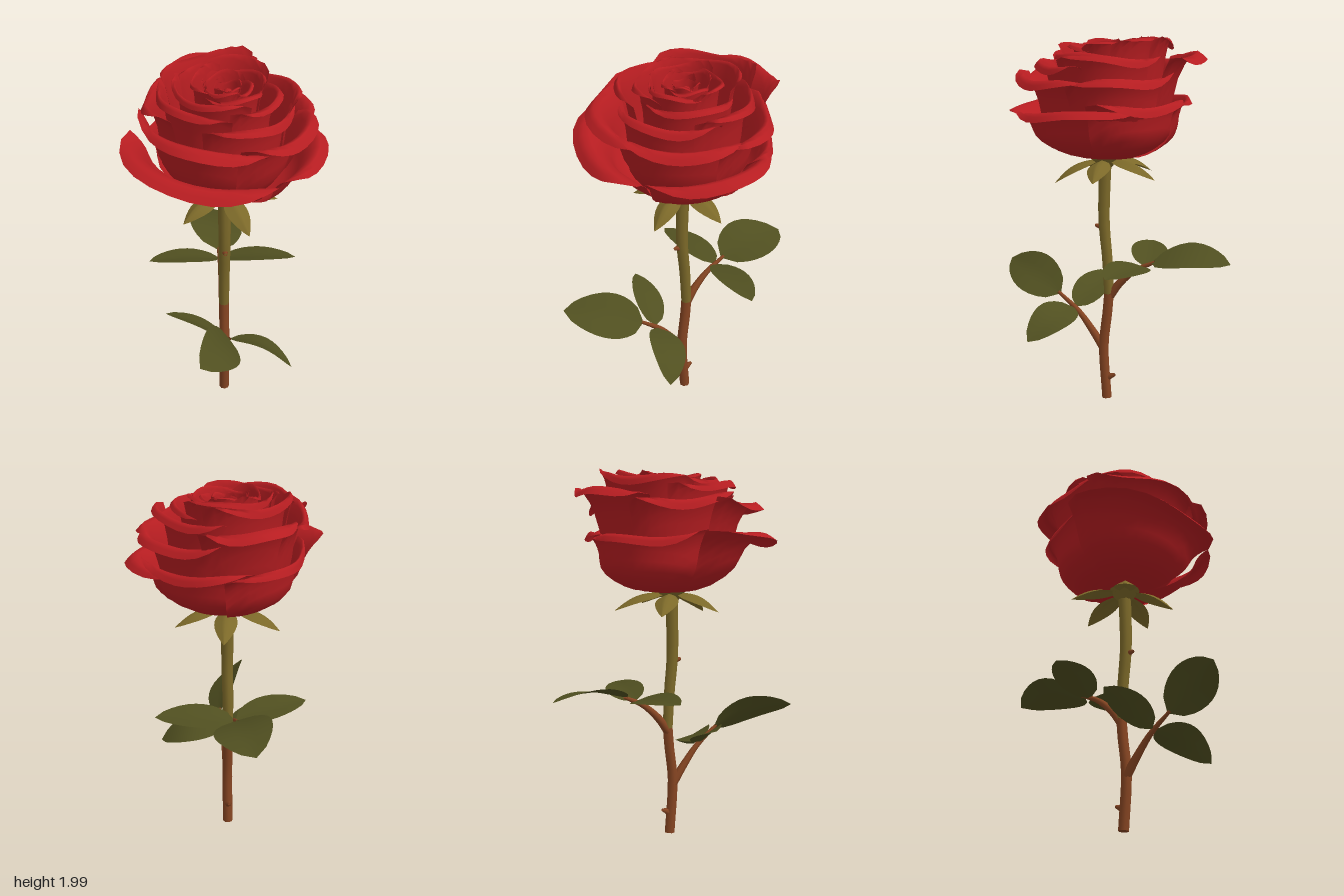
import * as THREE from 'three';

const V = (x, y, z) => new THREE.Vector3(x, y, z);
const RAD = Math.PI / 180;

// Smooth sheet from a rule fn(u, v) with u in -1..1 and v in 0..1
function sheet(nu, nv, fn) {
  const pos = [], index = [];
  for (let j = 0; j <= nv; j++)
    for (let i = 0; i <= nu; i++) pos.push(...fn((i / nu) * 2 - 1, j / nv).toArray());
  for (let j = 0; j < nv; j++)
    for (let i = 0; i < nu; i++) {
      const a = j * (nu + 1) + i, b = a + nu + 1;
      index.push(a, b, a + 1, a + 1, b, b + 1);
    }
  const g = new THREE.BufferGeometry();
  g.setAttribute('position', new THREE.Float32BufferAttribute(pos, 3));
  g.setIndex(index);
  g.computeVertexNormals();
  return g;
}

// Tapered tube along points
function stalk(points, r0, r1, seg = 10, sides = 8) {
  const curve = new THREE.CatmullRomCurve3(points);
  const g = new THREE.TubeGeometry(curve, seg, 1, sides);
  const p = g.attributes.position, v = V(0, 0, 0);
  for (let i = 0; i <= seg; i++) {
    const c = curve.getPointAt(i / seg), r = r0 + (r1 - r0) * (i / seg);
    for (let k = 0; k <= sides; k++) {
      const n = i * (sides + 1) + k;
      v.fromBufferAttribute(p, n).sub(c).multiplyScalar(r).add(c);
      p.setXYZ(n, v.x, v.y, v.z);
    }
  }
  return g;
}

// Pointed blade from base to tip, arched upwards and folded along its midrib
function blade(base, tip, side, half, arch, fold, fullness) {
  const d = tip.clone().sub(base).normalize();
  const w = side.clone().addScaledVector(d, -side.dot(d)).normalize();
  const n = w.clone().cross(d);
  if (n.y < 0) {
    n.negate();
    w.negate();
  }
  return sheet(6, 10, (u, t) => {
    const width = half * Math.pow(Math.max(0, Math.sin(Math.PI * Math.pow(t, 0.85))), fullness);
    return base.clone().lerp(tip, t)
      .addScaledVector(w, -width * u)
      .addScaledVector(n, arch * Math.sin(Math.PI * t) + fold * Math.abs(u) * (width / half));
  });
}

// Cupped petal with a rolled lip: angle and half width in degrees, belly and rim radius,
// rim height, rise of the rim from one side to the other, lip droop
function petal(angle, spread, belly, rim, top, tilt, droop, seed) {
  const y0 = 1.355, h = top - y0, flare = rim - belly;
  const profile = new THREE.CatmullRomCurve3([
    V(0.02, y0, 0), V(belly * 0.55, y0 + 0.012, 0), V(belly, y0 + h * 0.38, 0),
    V(belly + flare * 0.3, y0 + h * 0.78, 0),
    V(belly + flare * 0.72, top, 0), V(rim, top - droop, 0),
  ]);
  return sheet(12, 12, (u, v) => {
    const p = profile.getPoint(v * (1 - 0.26 * Math.pow(Math.abs(u), 3)));
    const wave = Math.sin(u * 4.5 + seed * 2.1) * v * v;
    const r = p.x * (1 + 0.05 * u + 0.03 * wave);
    const a = (angle + u * spread) * RAD;
    return V(0.02 * v + r * Math.cos(a), p.y + 0.016 * wave + tilt * u * v * v, 0.015 * v + r * Math.sin(a));
  });
}

export function createModel() {
  const root = new THREE.Group();
  root.name = 'rose';
  const mat = (name, color) => {
    const m = new THREE.MeshStandardMaterial({ color, side: THREE.DoubleSide });
    m.name = name;
    return m;
  };
  const red = mat('petal red', 0xb71d21);
  const green = mat('leaf green', 0x504f20);
  const olive = mat('stem olive', 0x7c6929);
  const brown = mat('bark brown', 0x864522);
  const add = (name, geometry, material, parent = root) => {
    const m = new THREE.Mesh(geometry, material);
    m.name = name;
    parent.add(m);
    return m;
  };

  // Stem: woody below, olive above
  add('lowerStem', stalk([V(0.003, 0, 0.012), V(0.003, 0.3, 0.03), V(0.003, 0.5, 0.008), V(0.003, 0.6, 0)], 0.028, 0.028), brown);
  add('upperStem', stalk([V(0.003, 0.6, 0), V(0.003, 0.8, 0.01), V(0.003, 1, 0.028), V(0.003, 1.36, 0.02)], 0.028, 0.036), olive);
  const cut = add('stemCut', new THREE.CircleGeometry(0.028, 8), brown);
  cut.rotation.x = Math.PI / 2;
  cut.position.set(0.003, 0.001, 0.012);
  add('upperThorn', stalk([V(0.003, 0.97, 0.04), V(0.003, 0.975, 0.078)], 0.02, 0.008, 3, 6), brown);
  add('lowerThorn', stalk([V(0.003, 0.12, 0), V(0.003, 0.135, -0.035)], 0.02, 0.008, 3, 6), brown);

  // Two leafy branches
  const branch = (name, path) => {
    const g = new THREE.Group();
    g.name = name;
    root.add(g);
    add(name + 'Stalk', stalk(path, 0.026, 0.009), brown, g);
    return (leafName, base, tip, side, half, arch) =>
      add(leafName, blade(base, tip, side, half, arch, 0.012, 0.65), green, g);
  };
  const frontLeaf = branch('frontBranch', [V(0, 0.28, 0.03), V(0, 0.38, 0.1), V(0, 0.48, 0.18), V(0, 0.58, 0.3)]);
  frontLeaf('frontEndLeaf', V(0, 0.57, 0.285), V(-0.19, 0.7, 0.67), V(-0.6, 0.7, -0.54), 0.125, 0.04);
  frontLeaf('frontLeftLeaf', V(0.01, 0.5, 0.2), V(0.338, 0.385, 0.34), V(0, 0.3, 1), 0.105, 0.05);
  frontLeaf('frontRightLeaf', V(-0.01, 0.5, 0.2), V(-0.33, 0.64, 0.12), V(0, 0.3, 1), 0.09, 0.02);
  const backLeaf = branch('backBranch', [V(0, 0.58, 0), V(0, 0.66, -0.06), V(0, 0.74, -0.15), V(0, 0.795, -0.26)]);
  backLeaf('backEndLeaf', V(0, 0.79, -0.24), V(-0.02, 0.81, -0.67), V(0.15, -0.035, 0), 0.155, 0.04);
  backLeaf('backLeftLeaf', V(0, 0.765, -0.2), V(0.42, 0.79, -0.13), V(0, 0.2, 1), 0.1, 0.015);
  backLeaf('backRightLeaf', V(0, 0.765, -0.2), V(-0.4, 0.82, -0.13), V(0, 0.2, 1), 0.1, 0.015);

  // Flower base and five drooping sepals
  add('flowerBase', new THREE.CylinderGeometry(0.085, 0.035, 0.06, 12, 1, true), olive).position.set(0.003, 1.325, 0.02);
  for (let i = 0; i < 5; i++) {
    const a = (69 + i * 72) * RAD, c = Math.cos(a), s = Math.sin(a);
    add('sepal' + (i + 1), blade(V(0.03 * c, 1.34, 0.02 + 0.03 * s), V(0.29 * c, i ? 1.25 : 1.21, 0.29 * s),
      V(-s, 0, c), 0.06, 0.035, -0.03, 0.9), olive);
  }

  const bloom = new THREE.Group();
  bloom.name = 'bloom';
  root.add(bloom);
  let count = 0;
  const addPetal = (...p) => add('petal' + (count + 1), petal(...p, count++), red, bloom);

  // Open outer petals: angle, half width, rim radius, rim height, tilt
  const outer = [[125, 60, 0.57, 1.65, 0.07], [5, 56, 0.5, 1.63, -0.02], [305, 48, 0.45, 1.66, 0], [228, 52, 0.44, 1.67, -0.02]];
  const middle = [[120, 54, 0.49, 1.81, 0.06], [38, 50, 0.46, 1.78, 0.02], [322, 48, 0.45, 1.79, -0.02],
    [258, 38, 0.52, 1.9, 0], [190, 46, 0.44, 1.86, -0.02]];
  for (const [angle, spread, rim, top, tilt] of outer) addPetal(angle, spread, 0.345, rim, top, tilt, 0.045);
  for (const [angle, spread, rim, top, tilt] of middle) addPetal(angle, spread, 0.315, rim, top, tilt, 0.045);

  // Inner rings, higher at the back right: number, first angle, half width, belly, rim, height, lean, droop
  const rings = [
    [4, 60, 58, 0.27, 0.36, 1.91, 0.06, 0.04],
    [3, 20, 74, 0.2, 0.27, 1.94, 0.04, 0.03],
    [3, 70, 74, 0.14, 0.19, 1.95, 0.015, 0.02],
    [3, 10, 78, 0.09, 0.125, 1.945, 0.01, 0.015],
    [3, 60, 85, 0.05, 0.07, 1.935, 0, 0.01],
  ];
  for (const [n, first, spread, belly, rim, top, lean, droop] of rings)
    for (let i = 0; i < n; i++) {
      const angle = first + (i * 360) / n;
      addPetal(angle, spread, belly, rim, top + lean * Math.cos((angle - 225) * RAD), 0.012, droop);
    }

  // Closed heart
  const heart = add('heart', new THREE.SphereGeometry(0.04, 8, 6), red, bloom);
  heart.scale.y = 2;
  heart.position.set(0.02, 1.84, 0.015);
  return root;
}
